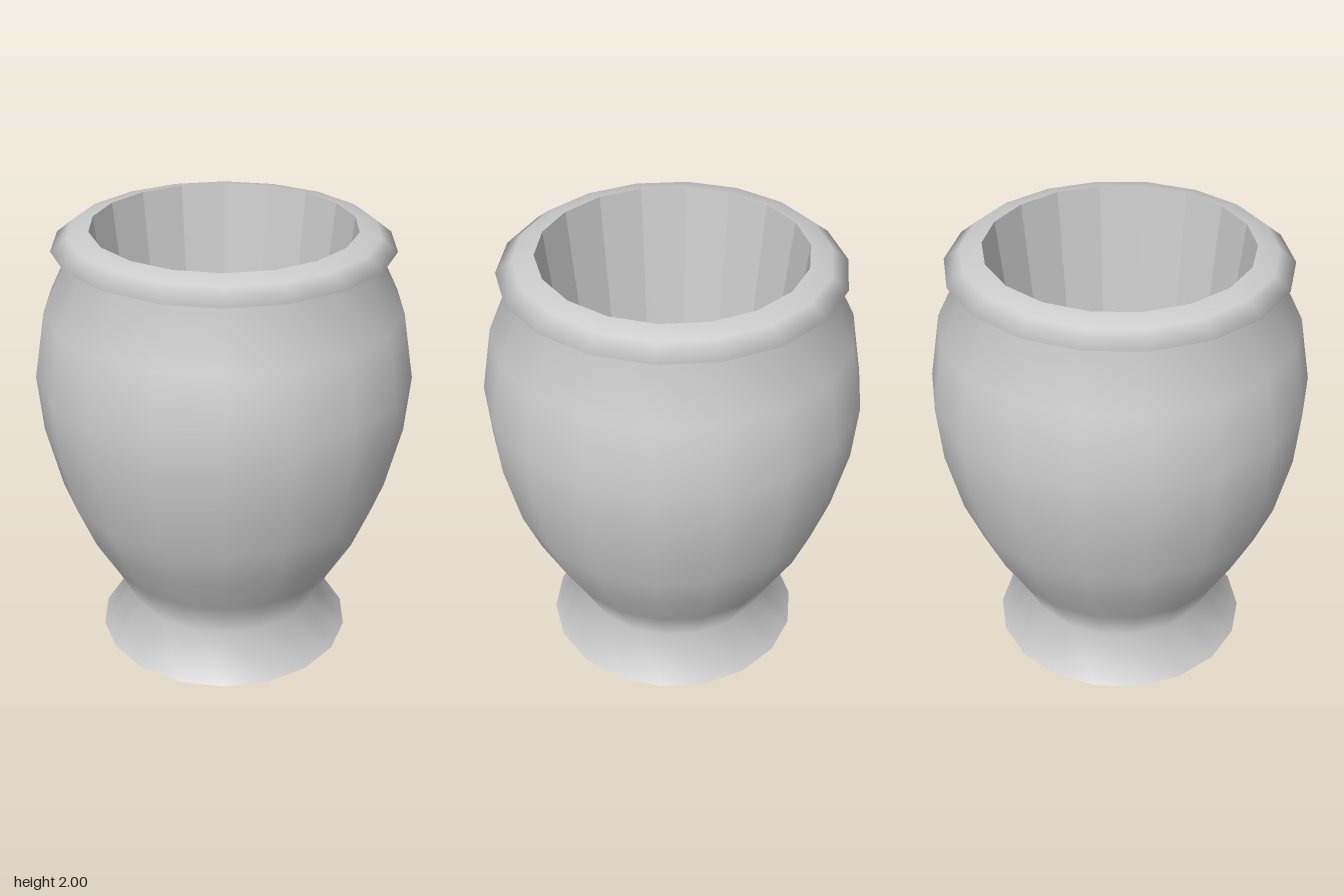
import * as THREE from 'three';

const SIDES = 18;
const TURN = -0.074; // slight twist of the polygon about y

// Revolve a [radius, height] profile into a named mesh
function revolve(name, profile, flatShading = false) {
  const points = profile.map(([r, y]) => new THREE.Vector2(r, y));
  const geometry = new THREE.LatheGeometry(points, SIDES, TURN);
  const material = new THREE.MeshStandardMaterial({ color: 0xcccccc, flatShading });
  const mesh = new THREE.Mesh(geometry, material);
  mesh.name = name;
  return mesh;
}

export function createModel() {
  const vase = new THREE.Group();
  vase.name = 'vase';

  // Flared foot, waist, belly, shoulder and overhanging lip in one smooth skin
  vase.add(revolve('outerBody', [
    [0.59, 0], [0.447, 0.2], [0.55, 0.4], [0.663, 0.6], [0.744, 0.8],
    [0.813, 1.09], [0.835, 1.35], [0.784, 1.65], [0.668, 1.89],
    [0.739, 1.923], [0.668, 1.98], [0.575, 2],
  ]));

  // Faceted, tapering hollow with a flat floor
  vase.add(revolve('innerWall', [[0.575, 2], [0.372, 0.2]], true));
  vase.add(revolve('innerFloor', [[0.372, 0.2], [0, 0.2]], true));

  // Flat underside
  vase.add(revolve('base', [[0, 0], [0.59, 0]], true));

  return vase;
}
